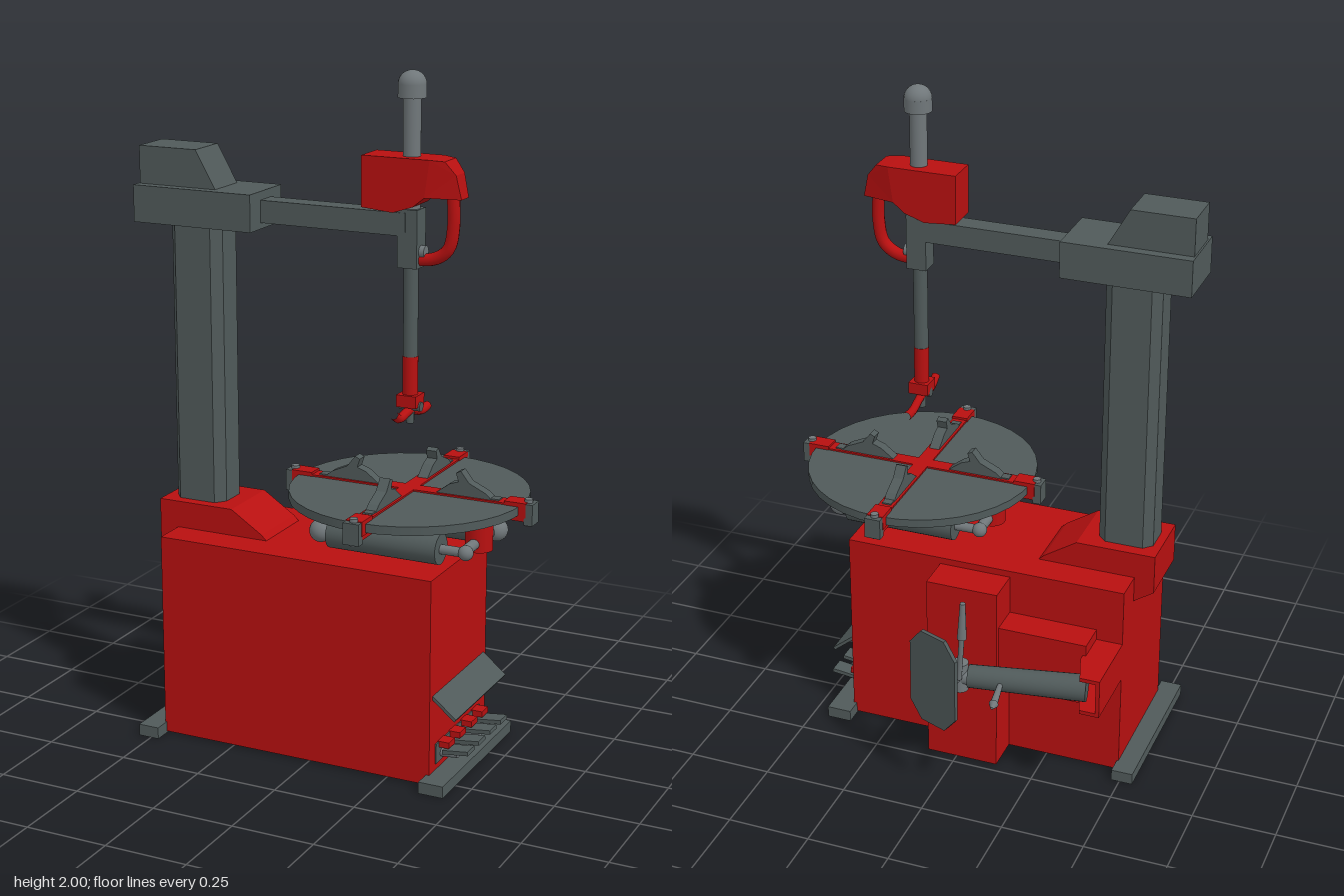
import * as THREE from 'three';

export function createModel() {
  const root = new THREE.Group();
  const mat = (name, color) => Object.assign(new THREE.MeshStandardMaterial({ color }), { name });
  const red = mat('red paint', 0xb81010);
  const dark = mat('dark grey', 0x505a5a);
  const steel = mat('steel grey', 0x70777a);
  const V = (x, y, z) => new THREE.Vector3(x, y, z);

  const add = (name, geo, m, parent = root) => {
    const mesh = new THREE.Mesh(geo, m);
    mesh.name = name;
    parent.add(mesh);
    return mesh;
  };
  const box = (name, m, x0, x1, y0, y1, z0, z1, parent) => {
    const mesh = add(name, new THREE.BoxGeometry(x1 - x0, y1 - y0, z1 - z0), m, parent);
    mesh.position.set((x0 + x1) / 2, (y0 + y1) / 2, (z0 + z1) / 2);
    return mesh;
  };
  // cylinder between two points
  const rod = (name, m, a, b, r0, r1 = r0, sides = 24, parent) => {
    const d = b.clone().sub(a);
    const mesh = add(name, new THREE.CylinderGeometry(r1, r0, d.length(), sides), m, parent);
    mesh.position.copy(a).addScaledVector(d, 0.5);
    mesh.quaternion.setFromUnitVectors(V(0, 1, 0), d.normalize());
    return mesh;
  };
  const ball = (name, m, p, r, parent) => {
    const mesh = add(name, new THREE.SphereGeometry(r, 20, 14), m, parent);
    mesh.position.copy(p);
    return mesh;
  };
  const poly = (pts) => new THREE.Shape(pts.map(([x, y]) => new THREE.Vector2(x, y)));
  // front outline extruded from z0 to z1
  const slabZ = (name, m, pts, z0, z1, parent) =>
    add(name, new THREE.ExtrudeGeometry(poly(pts), { depth: z1 - z0, bevelEnabled: false }).translate(0, 0, z0), m, parent);
  // plan outline, given as x and z, extruded from y0 to y1
  const slabY = (name, m, pts, y0, y1, parent) =>
    add(name, new THREE.ExtrudeGeometry(poly(pts.map(([x, z]) => [x, -z])), { depth: y1 - y0, bevelEnabled: false })
      .rotateX(-Math.PI / 2).translate(0, y0, 0), m, parent);

  // Cabinet and floor rails
  box('cabinet', red, -0.48, 0.385, 0.005, 0.62, -0.115, 0.29);
  box('rearHousing', red, -0.13, 0.09, 0.005, 0.6, -0.225, -0.115);
  box('rearLedge', red, -0.4, -0.13, 0.28, 0.48, -0.21, -0.115);
  box('floorRail', dark, -0.54, -0.475, 0, 0.035, -0.168, 0.342);
  box('floorRail', dark, 0.375, 0.45, 0, 0.035, -0.168, 0.342);

  // Sloping tray on the side
  slabZ('tray', dark, [[0.38, 0.262], [0.452, 0.203], [0.457, 0.211], [0.385, 0.27]], -0.1, 0.27);
  // Foot pedals
  box('pedalPanel', dark, 0.384, 0.389, 0.055, 0.115, -0.07, 0.25);
  for (const z of [0.21, 0.13, 0.045, -0.035]) {
    const pedal = new THREE.Group();
    pedal.name = 'pedal';
    root.add(pedal);
    rod('pedalStem', steel, V(0.38, 0.075, z), V(0.44, 0.08, z), 0.012, 0.012, 12, pedal);
    box('pedalPad', dark, 0.4, 0.48, 0.086, 0.098, -0.025 + z, 0.025 + z, pedal).rotation.z = 0.12;
    box('pedalHinge', red, 0.385, 0.42, 0.1, 0.118, -0.022 + z, 0.022 + z, pedal);
  }

  // Column with chamfered corners, on a red foot
  slabZ('columnFoot', red,
    [[-0.54, 0.58], [-0.48, 0.54], [-0.46, 0.6], [-0.18, 0.615], [-0.2, 0.635], [-0.3, 0.7], [-0.54, 0.7]], -0.018, 0.188);
  slabY('column', dark, [[-0.515, 0.045], [-0.49, 0.02], [-0.375, 0.02], [-0.35, 0.045],
    [-0.35, 0.125], [-0.375, 0.155], [-0.49, 0.155], [-0.515, 0.125]], 0.69, 1.56);
  box('columnHead', dark, -0.61, -0.23, 1.527, 1.635, -0.01, 0.18);
  slabZ('columnCap', dark, [[-0.605, 1.63], [-0.355, 1.63], [-0.42, 1.745], [-0.605, 1.745]], 0.02, 0.15);
  box('swingArm', dark, -0.24, 0.22, 1.545, 1.61, 0.053, 0.117);

  // Mounting head on the arm, nose narrowing towards the end
  const cx = 0.225, cz = 0.085;
  const head = slabZ('headCover', red, [[0.095, 1.62], [0.19, 1.612], [0.25, 1.632], [0.285, 1.66], [0.385, 1.658],
    [0.37, 1.725], [0.34, 1.762], [0.3, 1.765], [0.095, 1.765]], -0.05, 0.05);
  const hp = head.geometry.attributes.position;
  for (let i = 0; i < hp.count; i++) {
    const k = Math.max(0, hp.getX(i) - 0.3) / 0.085;
    hp.setZ(i, cz + hp.getZ(i) * (1 - 0.5 * k));
  }
  head.geometry.computeVertexNormals();
  const grip = new THREE.CatmullRomCurve3([V(0.35, 1.67, cz), V(0.352, 1.58, cz), V(0.338, 1.515, cz), V(0.3, 1.485, cz), V(0.235, 1.475, cz)]);
  add('handle', new THREE.TubeGeometry(grip, 24, 0.018, 12), red);

  // Vertical tool shaft
  rod('upperRod', steel, V(cx, 1.6, cz), V(cx, 1.95, cz), 0.025);
  rod('capSide', steel, V(cx, 1.925, cz), V(cx, 1.963, cz), 0.04);
  const cap = ball('rodCap', steel, V(cx, 1.962, cz), 0.04);
  cap.scale.y = 0.95;
  box('shaftSleeve', dark, cx - 0.03, cx + 0.03, 1.455, 1.62, cz - 0.03, cz + 0.03);
  rod('sleeveKnob', steel, V(cx + 0.03, 1.5, cz), V(cx + 0.045, 1.5, cz), 0.018);
  rod('shaft', dark, V(cx, 1.19, cz), V(cx, 1.46, cz), 0.021);
  rod('toolHolder', red, V(cx, 1.07, cz), V(cx, 1.2, cz), 0.022);
  box('toolBlock', red, cx - 0.03, cx + 0.03, 1.055, 1.09, cz - 0.03, cz + 0.03);
  rod('toolBolt', dark, V(cx - 0.03, 1.055, cz), V(cx + 0.035, 1.055, cz), 0.014, 0.014, 12);
  rod('toolRoller', dark, V(cx, 1.005, cz), V(cx, 1.06, cz), 0.012, 0.012, 12);
  const hook = new THREE.CatmullRomCurve3([V(cx, 1.055, cz + 0.11), V(cx, 1.035, cz + 0.075), V(cx, 1.042, cz),
    V(cx, 1.022, cz - 0.075), V(cx, 1.025, cz - 0.12)]);
  add('mountingHook', new THREE.TubeGeometry(hook, 20, 0.013, 8), red).scale.set(1, 1, 1);

  // Turntable with four clamping slides
  rod('spindle', dark, V(cx, 0.61, cz), V(cx, 0.79, cz), 0.055);
  rod('turntable', dark, V(cx, 0.785, cz), V(cx, 0.81, cz), 0.345, 0.345, 36);
  for (let i = 0; i < 4; i++) {
    const slide = new THREE.Group();
    slide.name = 'clampSlide';
    slide.position.set(cx, 0, cz);
    slide.rotation.y = i * Math.PI / 2;
    root.add(slide);
    box('slideTop', red, 0, 0.36, 0.805, 0.815, -0.023, 0.023, slide);
    box('slideUnder', red, 0.05, 0.36, 0.768, 0.787, -0.023, 0.023, slide);
    box('slideGroove', dark, 0.11, 0.28, 0.812, 0.819, -0.014, 0.014, slide);
    box('slideTip', red, 0.3, 0.365, 0.78, 0.822, -0.025, 0.025, slide);
    box('tipClamp', dark, 0.36, 0.385, 0.758, 0.82, -0.024, 0.024, slide);
    rod('tipBolt', steel, V(0.365, 0.752, 0), V(0.365, 0.83, 0), 0.012, 0.012, 12, slide);
    slabZ('jaw', dark, [[0.09, 0.815], [0.26, 0.815], [0.24, 0.832], [0.19, 0.855], [0.165, 0.887],
      [0.15, 0.88], [0.158, 0.855], [0.13, 0.845]], -0.016, 0.016, slide);
  }
  // Air cylinders and their brackets below the table
  for (const [z, s] of [[0.2, 1], [-0.025, -1]]) {
    const at = (d, y = 0.685) => V(cx + s * d, y, z);
    rod('airCylinder', dark, at(-0.19), at(0.15), 0.045);
    rod('cylinderRod', steel, at(0.15), at(0.225), 0.014);
    ball('rodEnd', steel, at(0.225), 0.022);
    ball('rearJoint', steel, at(-0.225), 0.034);
    rod('rearLink', steel, at(-0.225), at(-0.18), 0.02);
  }
  for (const x of [0.002, 0.442]) {
    rod('cylinderBracket', red, V(x, 0.66, cz), V(x, 0.785, cz), 0.04);
    rod('bracketPin', steel, V(x, 0.685, -0.03), V(x, 0.685, 0.2), 0.016, 0.016, 12);
  }

  // Rear bracket: two plates joined by a web
  const bracket = [[-0.48, -0.325], [-0.42, -0.325], [-0.39, -0.23], [-0.39, -0.115], [-0.48, -0.115]];
  slabY('bracketBottom', red, bracket, 0.325, 0.337);
  slabY('bracketTop', red, bracket, 0.435, 0.447);
  box('bracketWeb', red, -0.48, -0.468, 0.33, 0.44, -0.325, -0.115);

  // Pressing arm, joint and levers
  rod('pressArm', dark, V(-0.43, 0.39, -0.285), V(-0.09, 0.39, -0.347), 0.04, 0.034);
  rod('pressRod', steel, V(-0.1, 0.39, -0.345), V(-0.05, 0.39, -0.354), 0.026);
  rod('pressJoint', steel, V(-0.065, 0.345, -0.352), V(-0.065, 0.435, -0.352), 0.025);
  rod('plateLink', steel, V(-0.06, 0.39, -0.355), V(-0.045, 0.39, -0.41), 0.018);
  rod('sideLever', steel, V(-0.19, 0.39, -0.35), V(-0.208, 0.39, -0.455), 0.008, 0.011, 12);
  rod('sideLeverTip', steel, V(-0.208, 0.39, -0.455), V(-0.211, 0.39, -0.478), 0.014, 0.004, 12);
  rod('leverStem', steel, V(-0.075, 0.4, -0.385), V(-0.09, 0.56, -0.4), 0.008, 0.008, 12);
  rod('leverGrip', steel, V(-0.09, 0.55, -0.4), V(-0.095, 0.67, -0.405), 0.014, 0.008, 12);

  // Pressing plate with cut corners
  const plate = slabZ('pressPlate', dark, [[-0.088, -0.1], [-0.045, -0.152], [0.045, -0.152], [0.088, -0.1],
    [0.088, 0.1], [0.045, 0.152], [-0.045, 0.152], [-0.088, 0.1]], -0.006, 0.006);
  plate.position.set(-0.003, 0.388, -0.402);
  plate.rotation.y = -0.37;

  return root;
}
